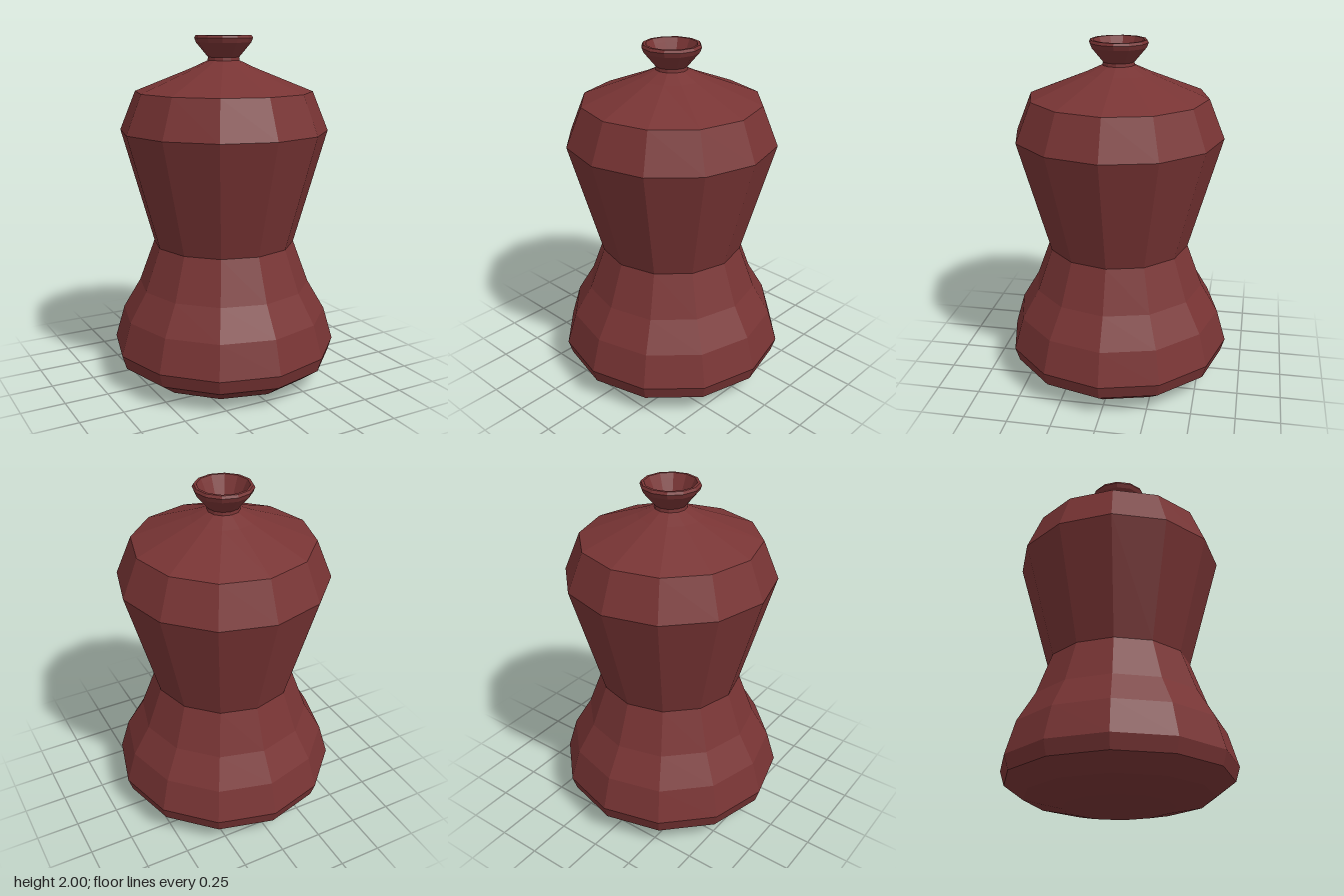
import * as THREE from 'three';

const SIDES = 12;

// Faceted solid of revolution; profile runs from the bottom up the outside
function turned(name, profile, material) {
  const points = profile.map(([r, y]) => new THREE.Vector2(r, y));
  const geometry = new THREE.LatheGeometry(points, SIDES).toNonIndexed();
  geometry.computeVertexNormals();
  const mesh = new THREE.Mesh(geometry, material);
  mesh.name = name;
  return mesh;
}

export function createModel() {
  const group = new THREE.Group();
  group.name = 'vase';
  const clay = new THREE.MeshStandardMaterial({ color: 0x783434, flatShading: true });
  clay.name = 'dark red clay';

  // Rounded base flaring into the lower bulge, up to the waist
  group.add(turned('lowerBody', [
    [0, 0], [0.31, 0], [0.52, 0.05], [0.63, 0.13], [0.655, 0.21],
    [0.6, 0.4], [0.5, 0.57], [0.41, 0.815],
  ], clay));

  // Upper body widening to the shoulder and sloping in to the neck
  group.add(turned('upperBody', [
    [0.41, 0.815], [0.595, 1.47], [0.505, 1.69], [0.18, 1.82], [0.09, 1.862],
  ], clay));

  // Flared neck with a rounded lip, hollow inside with a flat floor
  group.add(turned('neck', [
    [0.09, 1.862], [0.088, 1.88], [0.155, 1.96], [0.165, 1.985], [0.157, 2],
    [0.142, 2], [0.13, 1.975], [0.085, 1.88], [0, 1.88],
  ], clay));

  return group;
}
